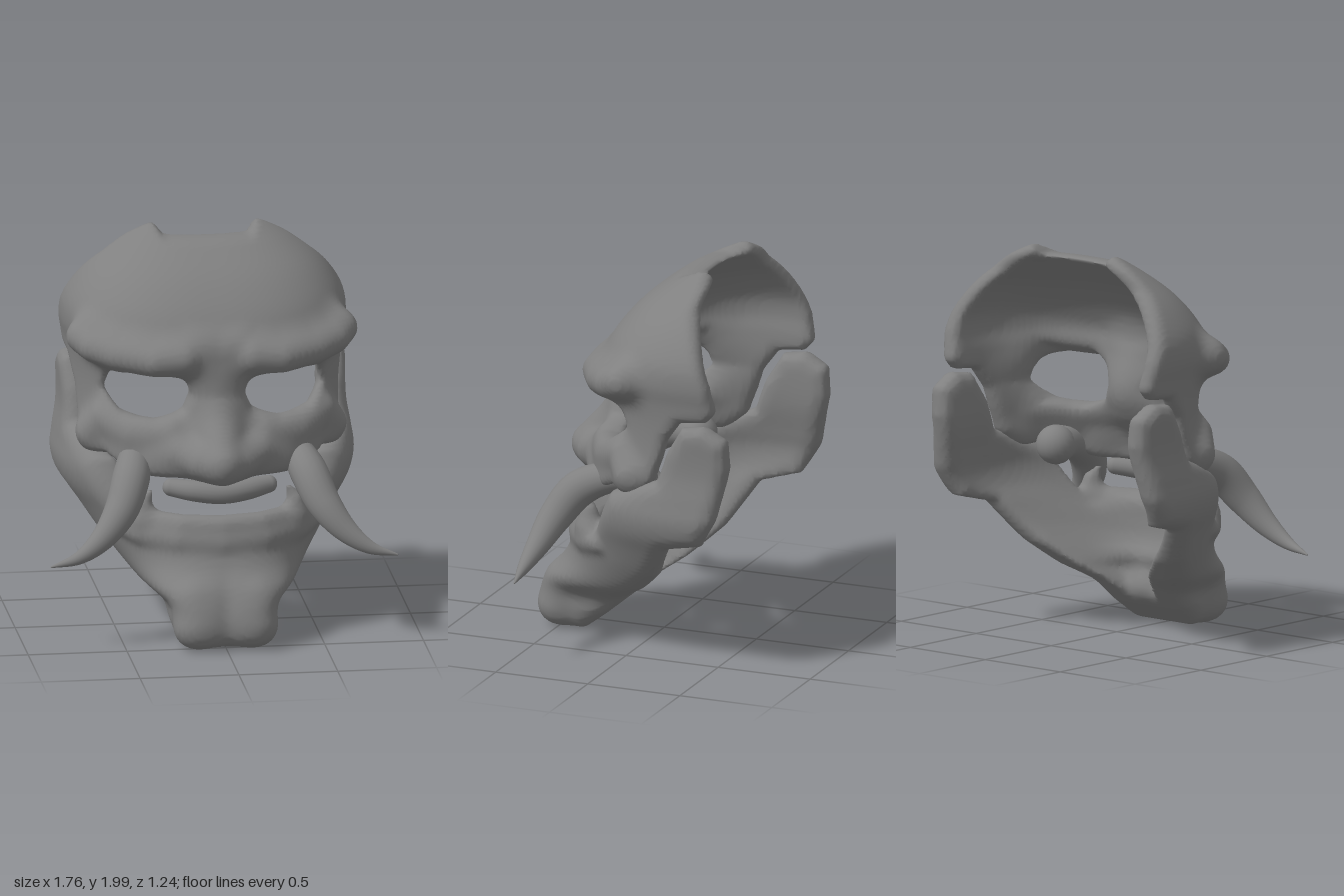
import * as THREE from 'three';

const material = new THREE.MeshStandardMaterial({ color: 0x808080 });

// Smooth blends for sculpting
const smin = (a, b, k) => { const h = Math.max(k - Math.abs(a - b), 0) / k; return Math.min(a, b) - h * h * k / 4; };
const smax = (a, b, k) => -smin(-a, -b, k);
const bell = (t, w) => Math.exp(-t * t / (w * w));
const { smoothstep } = THREE.MathUtils;

// Smooth curve through [position, value] pairs
function profile(pairs) {
  const it = new THREE.CubicInterpolant(pairs.map(p => p[0]), pairs.map(p => p[1]), 1);
  const lo = pairs[0][0], hi = pairs[pairs.length - 1][0];
  return t => it.evaluate(Math.min(hi, Math.max(lo, t)))[0];
}

// Signed distance to a 2D outline
function outline(pts) {
  return (x, y) => {
    let d = Infinity, inside = false;
    for (let i = 0, j = pts.length - 1; i < pts.length; j = i++) {
      const [ax, ay] = pts[i], [bx, by] = pts[j];
      const ex = bx - ax, ey = by - ay;
      const t = Math.min(1, Math.max(0, ((x - ax) * ex + (y - ay) * ey) / (ex * ex + ey * ey)));
      d = Math.min(d, Math.hypot(x - ax - ex * t, y - ay - ey * t));
      if ((ay > y) !== (by > y) && x < ax + ex * (y - ay) / ey) inside = !inside;
    }
    return inside ? -d : d;
  };
}

// Distance to a chain of [x, y, z, radius] points
function ridge(pts) {
  return (x, y, z) => {
    let d = Infinity;
    for (let i = 1; i < pts.length; i++) {
      const a = pts[i - 1], b = pts[i];
      const ex = b[0] - a[0], ey = b[1] - a[1], ez = b[2] - a[2];
      const t = Math.min(1, Math.max(0, ((x - a[0]) * ex + (y - a[1]) * ey + (z - a[2]) * ez) / (ex * ex + ey * ey + ez * ez)));
      d = Math.min(d, Math.hypot(x - a[0] - ex * t, y - a[1] - ey * t, z - a[2] - ez * t) - a[3] - (b[3] - a[3]) * t);
    }
    return d;
  };
}

// Distance to a curved wall whose level sections are rounded arches
function arch(width, front, power, back) {
  const f = (x, y, z) => {
    const n = power(y);
    return Math.pow(Math.pow(Math.abs(x) / width(y), n) + Math.pow(Math.abs(z - back) / (front(y) - back), n), 1 / n) - 1;
  };
  const e = 0.008;
  return (x, y, z) => {
    const v = f(x, y, z);
    const g = Math.hypot(f(x + e, y, z) - v, f(x, y + e, z) - v, f(x, y, z + e) - v) / e;
    return v / Math.max(g, 0.6);
  };
}

// Mesh the zero surface of a mirrored distance field
function sculpt(name, field, min, max, step) {
  const n = min.map((m, i) => Math.ceil((max[i] - m) / step) + 1);
  const stride = [1, n[0], n[0] * n[1]];
  const val = new Float32Array(n[0] * n[1] * n[2]);
  const cell = new Int32Array(val.length).fill(-1);
  const each = fn => {
    for (let k = 0; k < n[2]; k++) for (let j = 0; j < n[1]; j++) for (let i = 0; i < n[0]; i++) fn([i, j, k], i + j * stride[1] + k * stride[2]);
  };
  each((p, id) => { val[id] = field(Math.abs(min[0] + p[0] * step), min[1] + p[1] * step, min[2] + p[2] * step); });
  const pos = [], index = [];
  // One vertex in each crossed cell
  each((p, id) => {
    if (p.some((c, a) => c >= n[a] - 1)) return;
    const sum = [0, 0, 0];
    let count = 0;
    for (let c = 0; c < 8; c++) for (let a = 0; a < 3; a++) {
      if (c >> a & 1) continue;
      const o = [c & 1, c >> 1 & 1, c >> 2 & 1];
      const i0 = id + o[0] + o[1] * stride[1] + o[2] * stride[2];
      const v0 = val[i0], v1 = val[i0 + stride[a]];
      if ((v0 < 0) === (v1 < 0)) continue;
      o[a] = v0 / (v0 - v1);
      for (let q = 0; q < 3; q++) sum[q] += o[q];
      count++;
    }
    if (!count) return;
    cell[id] = pos.length / 3;
    for (let q = 0; q < 3; q++) pos.push(min[q] + (p[q] + sum[q] / count) * step);
  });
  // One quad around each crossed edge
  each((p, id) => {
    for (let a = 0; a < 3; a++) {
      const b = (a + 1) % 3, c = (a + 2) % 3;
      if (p[a] >= n[a] - 1 || p[b] < 1 || p[c] < 1) continue;
      const inside = val[id] < 0;
      if (inside === (val[id + stride[a]] < 0)) continue;
      const q = [id - stride[b] - stride[c], id - stride[c], id, id - stride[b]].map(i => cell[i]);
      if (q.some(v => v < 0)) continue;
      if (!inside) q.reverse();
      index.push(q[0], q[1], q[2], q[0], q[2], q[3]);
    }
  });
  const g = new THREE.BufferGeometry();
  g.setAttribute('position', new THREE.Float32BufferAttribute(pos, 3));
  g.setIndex(index);
  g.computeVertexNormals();
  const mesh = new THREE.Mesh(g, material);
  mesh.name = name;
  return mesh;
}

// Forehead, brows, eye openings, cheeks and nose
function upperFace() {
  const wall = arch(
    profile([[0.8, 0.67], [1, 0.69], [1.2, 0.695], [1.4, 0.705], [1.5, 0.72], [1.6, 0.71], [1.7, 0.66], [1.8, 0.58], [1.9, 0.46], [2, 0.31], [2.1, 0.16]]),
    profile([[0.8, 0.33], [0.9, 0.33], [1, 0.3], [1.1, 0.25], [1.2, 0.23], [1.4, 0.24], [1.5, 0.24], [1.6, 0.195], [1.7, 0.125], [1.8, 0.03], [1.9, -0.1], [2, -0.25], [2.1, -0.36]]),
    profile([[0.9, 2.4], [1.15, 2.25], [1.3, 2.25], [1.5, 2.5], [2, 2.5]]), -0.46);
  const side = outline([[0.7, 0.82], [0.2, 0.82], [0.05, 0.9], [-0.08, 0.9], [-0.2, 0.97], [-0.25, 1.1], [-0.28, 1.2], [-0.36, 1.31], [-0.5, 1.325], [-0.55, 1.38], [-0.52, 1.52], [-0.44, 1.72], [-0.38, 1.85], [-0.385, 1.93], [-0.33, 2.06], [0.7, 2.06]]);
  const eye = outline([[0.49, 1.42], [0.25, 1.39], [0.15, 1.3], [0.12, 1.235], [0.17, 1.155], [0.31, 1.08], [0.49, 1.1], [0.54, 1.23]]);
  const brow = ridge([[0.12, 1.47, 0.2, 0.04], [0.18, 1.43, 0.245, 0.065], [0.32, 1.42, 0.235, 0.07], [0.5, 1.435, 0.14, 0.07], [0.61, 1.46, 0.05, 0.075], [0.66, 1.49, -0.03, 0.075]]);
  const cheek = ridge([[0.24, 1.04, 0.21, 0.045], [0.42, 1.035, 0.13, 0.05], [0.56, 1.08, 0.0, 0.05], [0.61, 0.99, -0.06, 0.07]]);
  const bridge = ridge([[0, 1.42, 0.15, 0.09], [0, 1.2, 0.175, 0.09], [0, 1.08, 0.25, 0.1], [0, 0.93, 0.4, 0.09]]);
  const nostril = ridge([[0, 0.9, 0.39, 0.08], [0.1, 0.92, 0.34, 0.085], [0.19, 0.95, 0.27, 0.075], [0.28, 0.92, 0.2, 0.065]]);
  return sculpt('upperFace', (x, y, z) => {
    const d = wall(x, y, z);
    const thick = 0.105 + 0.1 * bell(x, 0.16) * bell(y - 1.2, 0.2);
    let s = smax(d, -d - thick, 0.06);
    s = smax(s, side(z, y), 0.06);
    // Top edge, lower between the two peaks
    s = smax(s, y - 1.94 - 0.07 * smoothstep(x, 0.21, 0.28), 0.035);
    if (z > -0.4) s = smax(s, -eye(x, y), 0.06);
    for (const [part, k] of [[brow, 0.12], [cheek, 0.1], [bridge, 0.12], [nostril, 0.06]]) s = smin(s, part(x, y, z), k);
    return smax(s, -d - thick - 0.02, 0.04);
  }, [-0.801, 0.74, -0.62], [0.8, 2.06, 0.58], 0.018);
}

// Lower jaw with chin, lip fold, lower canines and tall rear plates
function lowerJaw() {
  const wall = arch(
    profile([[-0.05, 0.22], [0, 0.25], [0.1, 0.275], [0.2, 0.3], [0.3, 0.43], [0.4, 0.535], [0.5, 0.615], [0.6, 0.68], [0.7, 0.74], [0.8, 0.763], [0.9, 0.75], [1.05, 0.725], [1.3, 0.73]]),
    profile([[-0.05, 0.56], [0, 0.59], [0.1, 0.615], [0.2, 0.6], [0.3, 0.555], [0.4, 0.48], [0.5, 0.44], [0.6, 0.415], [0.7, 0.38], [1, 0.33], [1.3, 0.3]]),
    profile([[0, 5], [0.2, 5], [0.35, 3], [0.5, 2.4], [0.8, 2.4], [1.3, 2.4]]), -0.5);
  const side = outline([[0.7, 0.0], [0.36, 0.0], [0.23, 0.1], [0.1, 0.22], [-0.02, 0.3], [-0.15, 0.42], [-0.28, 0.62], [-0.48, 0.67], [-0.57, 0.82], [-0.635, 1.1], [-0.625, 1.25], [-0.5, 1.32], [-0.37, 1.3], [-0.28, 1.15], [-0.23, 1.0], [-0.08, 0.94], [0.06, 0.88], [0.12, 0.76], [0.19, 0.62], [0.27, 0.64], [0.7, 0.655]]);
  const lip = ridge([[0, 0.6, 0.39, 0.045], [0.2, 0.605, 0.36, 0.045], [0.33, 0.61, 0.28, 0.045], [0.4, 0.61, 0.22, 0.04]]);
  const fold = ridge([[0, 0.52, 0.41, 0.045], [0.22, 0.53, 0.375, 0.045], [0.4, 0.54, 0.265, 0.045], [0.5, 0.56, 0.15, 0.03]]);
  const canine = ridge([[0.385, 0.62, 0.25, 0.06], [0.385, 0.69, 0.25, 0.045], [0.35, 0.755, 0.26, 0.014]]);
  const chin = ridge([[0.16, 0.11, 0.505, 0.1], [0.16, 0.24, 0.47, 0.09]]);
  const thickness = profile([[0, 0.5], [0.15, 0.45], [0.3, 0.3], [0.45, 0.19], [0.6, 0.145], [0.8, 0.14], [1.3, 0.13]]);
  return sculpt('lowerJaw', (x, y, z) => {
    const groove = 0.02 * bell(x, 0.06) * (1 - smoothstep(y, 0.2, 0.45));
    const d = wall(x, y, z) + groove;
    let s = smax(d, -d - thickness(y), 0.1);
    s = smax(s, side(z, y), 0.09);
    for (const [part, k] of [[lip, 0.04], [fold, 0.05], [canine, 0.05], [chin, 0.05]]) s = smin(s, part(x, y, z), k);
    return s;
  }, [-0.837, -0.06, -0.7], [0.84, 1.38, 0.7], 0.019);
}

// Tapered tube along points [x, y, z, radius] with rounded ends
function taperedTube(name, pts, segments) {
  const curve = new THREE.CatmullRomCurve3(pts.map(p => new THREE.Vector3(p[0], p[1], p[2])));
  const radius = profile(pts.map((p, i) => [i / (pts.length - 1), p[3]]));
  const g = new THREE.TubeGeometry(curve, segments, 1, 18);
  const pos = g.attributes.position, v = new THREE.Vector3();
  for (let i = 0; i < pos.count; i++) {
    const u = Math.floor(i / 19) / segments, c = curve.getPointAt(u);
    v.fromBufferAttribute(pos, i).sub(c).multiplyScalar(radius(curve.getUtoTmapping(u))).add(c);
    pos.setXYZ(i, v.x, v.y, v.z);
  }
  const group = new THREE.Group();
  group.name = name;
  group.add(new THREE.Mesh(g, material));
  for (const p of [pts[0], pts[pts.length - 1]]) {
    const cap = new THREE.Mesh(new THREE.SphereGeometry(p[3], 18, 14), material);
    cap.position.set(p[0], p[1], p[2]);
    group.add(cap);
  }
  group.children.forEach((m, i) => { m.name = name + ['Body', 'Root', 'End'][i]; });
  return group;
}

export function createModel() {
  const model = new THREE.Group();
  model.name = 'hornedMask';
  model.add(upperFace(), lowerJaw());
  // Upper lip under the nose
  model.add(taperedTube('upperLip', [[-0.245, 0.775, 0.27, 0.045], [-0.13, 0.768, 0.325, 0.055], [0, 0.76, 0.345, 0.058], [0.13, 0.768, 0.325, 0.055], [0.245, 0.775, 0.27, 0.045]], 32));
  // Curved tusks rooted behind the cheeks
  const path = [[0.39, 0.905, -0.02, 0.1], [0.41, 0.9, 0.1, 0.08], [0.45, 0.83, 0.27, 0.095], [0.515, 0.69, 0.375, 0.085], [0.62, 0.56, 0.43, 0.06], [0.74, 0.475, 0.455, 0.033], [0.875, 0.433, 0.45, 0.005]];
  for (const [name, s] of [['leftTusk', 1], ['rightTusk', -1]]) {
    model.add(taperedTube(name, path.map(([x, y, z, r]) => [x * s, y, z, r]), 48));
  }
  return model;
}
